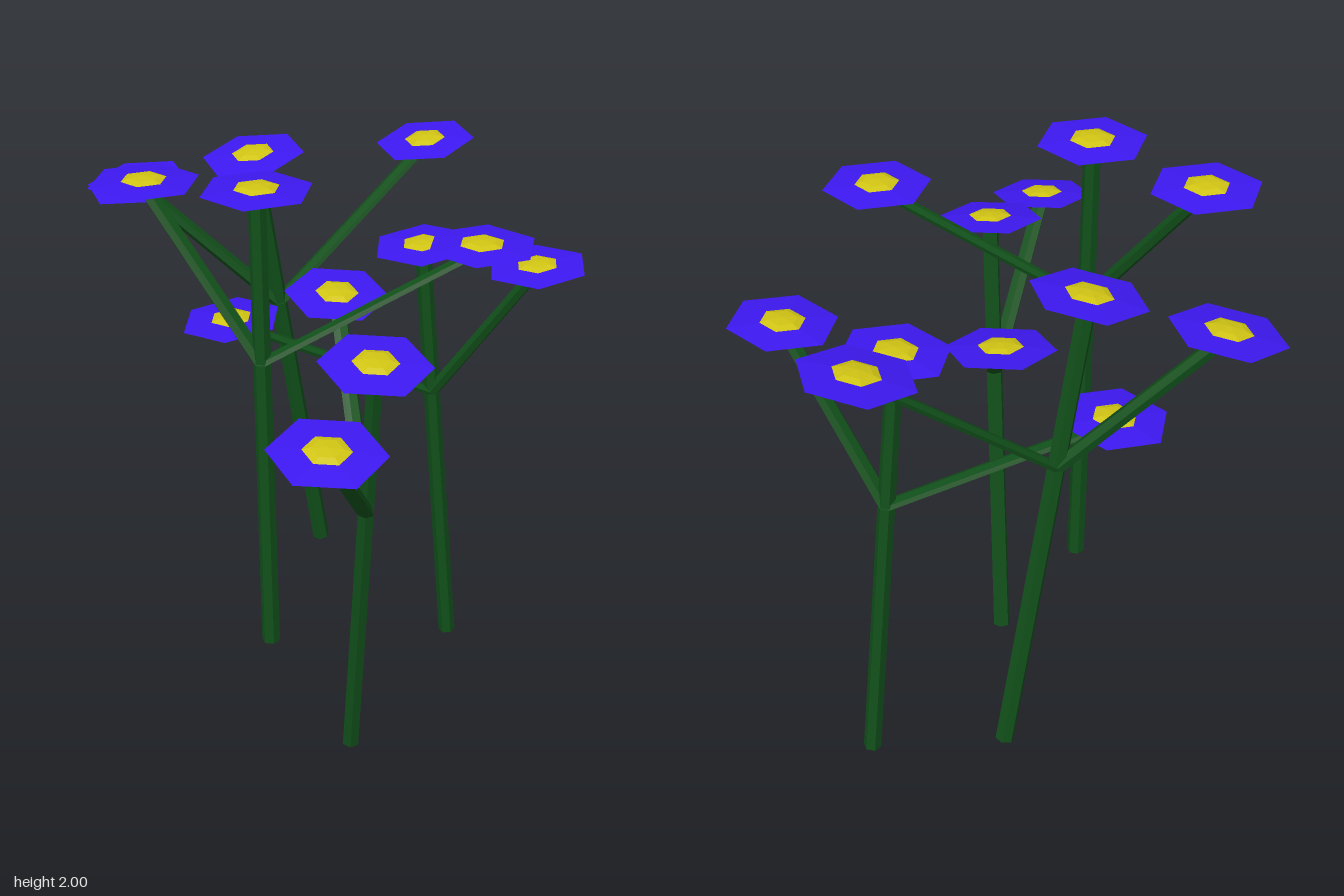
import * as THREE from 'three';

const green = new THREE.MeshStandardMaterial({ color: 0x11501a, flatShading: true });
const purple = new THREE.MeshStandardMaterial({ color: 0x3d18f0, flatShading: true });
const yellow = new THREE.MeshStandardMaterial({ color: 0xd0c414, flatShading: true });

const V = (x, y, z) => new THREE.Vector3(x, y, z);

// Six-sided stalk between two points; its end rings stay level, so leaning stalks are sheared
function stalk(name, from, to, r0, r1) {
  const h = to.y - from.y;
  const geo = new THREE.CylinderGeometry(r1, r0, h, 6);
  const p = geo.attributes.position;
  for (let i = 0; i < p.count; i++) {
    const t = p.getY(i) / h + 0.5;
    p.setXYZ(i,
      p.getX(i) + from.x + (to.x - from.x) * t,
      from.y + h * t,
      p.getZ(i) + from.z + (to.z - from.z) * t);
  }
  geo.computeVertexNormals();
  const mesh = new THREE.Mesh(geo, green);
  mesh.name = name;
  return mesh;
}

// Hexagonal lathe from [radius, height] pairs, listed bottom to top
function hexLathe(name, profile, material) {
  const points = profile.map(([r, y]) => new THREE.Vector2(r, y));
  const mesh = new THREE.Mesh(new THREE.LatheGeometry(points, 6, Math.PI / 6), material);
  mesh.name = name;
  return mesh;
}

// Flat hexagonal bloom with a low domed centre
function flower(at) {
  const group = new THREE.Group();
  group.name = 'flower';
  group.add(
    hexLathe('petals', [[0, -0.018], [0.17, 0], [0.07, 0.008]], purple),
    hexLathe('flowerCentre', [[0.07, 0.008], [0.045, 0.016], [0, 0.02]], yellow));
  group.position.copy(at);
  return group;
}

// One plant: straight stem, a short and a long side branch, three flowers
function plant() {
  const group = new THREE.Group();
  group.name = 'plant';
  const fork = V(0, 1.02, 0);
  const top = V(0, 1.57, 0);
  const shortTip = V(-0.26, 1.53, -0.29);
  const longTip = V(0.62, 1.39, 0.21);
  const below = (tip) => tip.clone().add(V(0, -0.012, 0));
  group.add(
    stalk('stem', V(0, 0, 0), below(top), 0.03, 0.027),
    stalk('shortBranch', fork, below(shortTip), 0.029, 0.027),
    stalk('longBranch', fork, below(longTip), 0.029, 0.027),
    flower(top), flower(shortTip), flower(longTip));
  return group;
}

export function createModel() {
  const model = new THREE.Group();
  model.name = 'flowerCluster';

  // Foot position, stem direction, and turn about the stem in degrees
  const placements = [
    { foot: V(-0.35, 0.41, 0.06), lean: V(0, 1, 0), turn: 0 },
    { foot: V(-0.115, 0.005, 0.18), lean: V(-0.01, 1.55, 0.25), turn: 98 },
    { foot: V(0.455, 0.003, -0.32), lean: V(-0.125, 1.565, 0), turn: -174 },
    { foot: V(0.08, 0.3, -0.665), lean: V(-0.24, 1.55, 0.075), turn: 30 },
  ];
  const up = V(0, 1, 0);
  for (const { foot, lean, turn } of placements) {
    const p = plant();
    p.position.copy(foot);
    const spin = new THREE.Quaternion().setFromAxisAngle(up, THREE.MathUtils.degToRad(turn));
    p.quaternion.setFromUnitVectors(up, lean.normalize()).multiply(spin);
    model.add(p);
  }
  return model;
}
